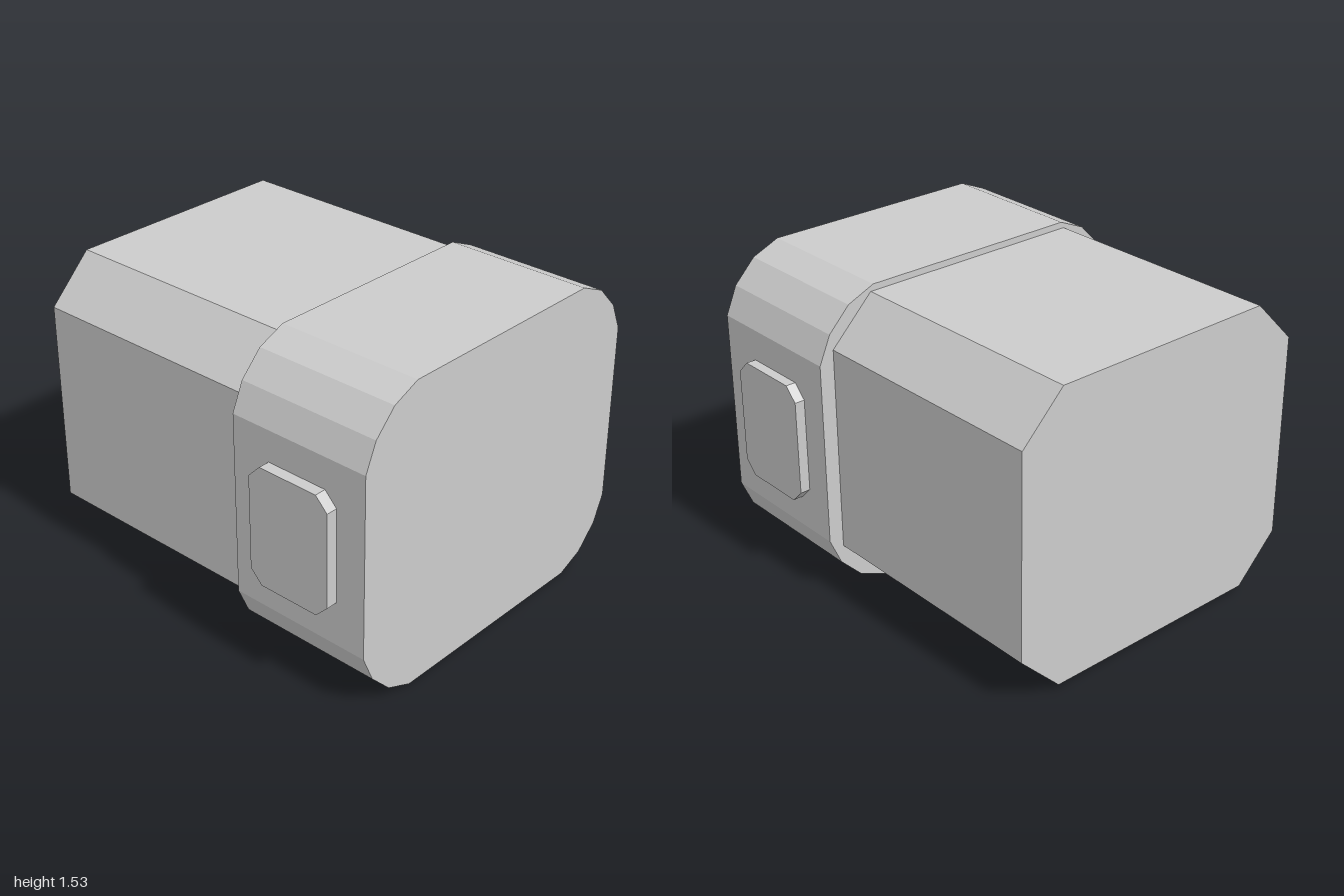
import * as THREE from 'three';

const CENTRE_Z = -0.005;

// Closed outline mirrored into four quadrants from the points of one corner,
// listed counter-clockwise from the +x side to the +y side.
function mirroredShape(corner) {
  const back = [...corner].reverse();
  const pts = [
    ...corner,
    ...back.map(([x, y]) => [-x, y]),
    ...corner.map(([x, y]) => [-x, -y]),
    ...back.map(([x, y]) => [x, -y]),
  ];
  return new THREE.Shape(pts.map(([x, y]) => new THREE.Vector2(x, y)));
}

function prism(name, corner, depth, material) {
  const geometry = new THREE.ExtrudeGeometry(mirroredShape(corner), { depth, bevelEnabled: false });
  const mesh = new THREE.Mesh(geometry, material);
  mesh.name = name;
  return mesh;
}

export function createModel() {
  const group = new THREE.Group();
  group.name = 'capsuleBlock';
  const grey = new THREE.MeshStandardMaterial({ color: 0xcccccc });
  grey.name = 'light grey';

  // Long body with chamfered edges, running along x
  const body = prism('body', [[0.81, 0.51], [0.59, 0.73]], 1.255, grey);
  body.rotation.y = Math.PI / 2;
  body.position.set(-1, 0.768, CENTRE_Z);

  // Wider end cap with faceted round edges
  const cap = prism('endCap',
    [[0.885, 0.455], [0.825, 0.592], [0.715, 0.705], [0.575, 0.765]], 0.745, grey);
  cap.rotation.y = Math.PI / 2;
  cap.position.set(0.255, 0.765, CENTRE_Z);
  group.add(body, cap);

  // Raised chamfered pads on the front and back of the cap
  for (const [name, z] of [['frontPad', 0.87], ['backPad', -0.94]]) {
    const pad = prism(name, [[0.224, 0.235], [0.16, 0.3]], 0.067, grey);
    pad.position.set(0.621, 0.765, z);
    group.add(pad);
  }
  return group;
}
